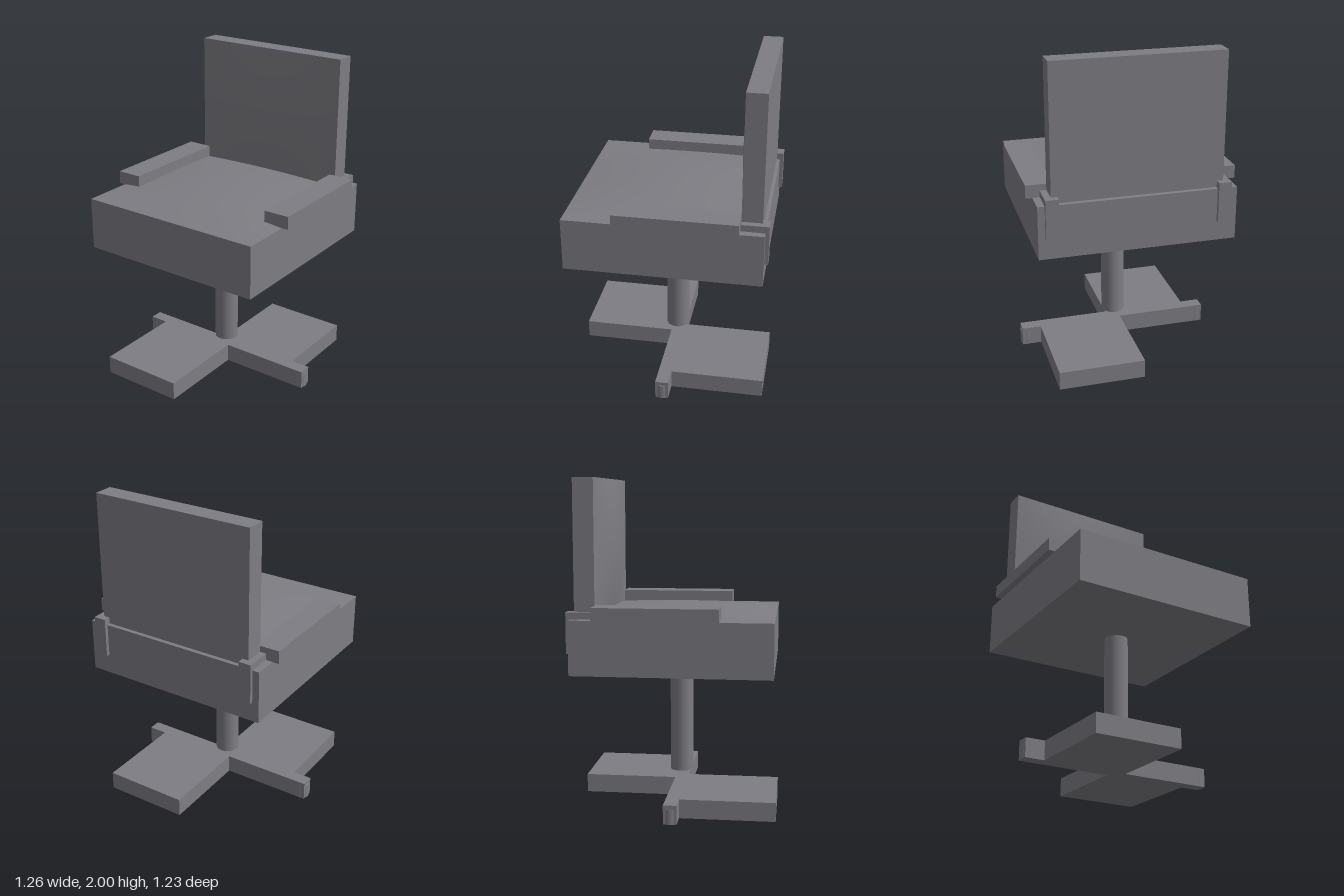
import * as THREE from 'three';

export function createModel() {
  const model = new THREE.Group();
  const material = new THREE.MeshStandardMaterial({ color: 0x7d7d83 });

  function add(name, geometry, parent = model) {
    const mesh = new THREE.Mesh(geometry, material);
    mesh.name = name;
    parent.add(mesh);
  }

  // Box given by its extents on each axis
  function box([x0, x1], [y0, y1], [z0, z1], segments = [1, 1, 1]) {
    const g = new THREE.BoxGeometry(x1 - x0, y1 - y0, z1 - z0, ...segments);
    return g.translate((x0 + x1) / 2, (y0 + y1) / 2, (z0 + z1) / 2);
  }

  // Bulge one positive face of a box outward, fading to nothing at its edges
  function crown(g, axis, height) {
    g.computeBoundingBox();
    const { min, max } = g.boundingBox;
    const others = ['x', 'y', 'z'].filter((a) => a !== axis);
    const p = new THREE.Vector3();
    const pos = g.attributes.position;
    for (let i = 0; i < pos.count; i++) {
      p.fromBufferAttribute(pos, i);
      if (p[axis] < max[axis] - 1e-4) continue;
      let lift = height;
      for (const a of others) {
        const t = (2 * (p[a] - min[a])) / (max[a] - min[a]) - 1;
        lift *= 1 - t * t;
      }
      p[axis] += lift;
      pos.setXYZ(i, p.x, p.y, p.z);
    }
    g.computeVertexNormals();
    return g;
  }

  // Cushions
  add('seat', crown(box([-0.592, 0.592], [0.862, 1.186], [-0.592, 0.592], [16, 1, 16]), 'y', 0.04));
  add('backrest', crown(box([-0.51, 0.51], [1.19, 2], [-0.572, -0.45], [16, 16, 1]), 'z', 0.035));

  // Armrests, each with a bracket hooked over the back of the seat
  for (const [side, s] of [['left', 1], ['right', -1]]) {
    const span = (a, b) => (s > 0 ? [a, b] : [-b, -a]);
    const arm = new THREE.Group();
    arm.name = side + 'Arm';
    model.add(arm);
    add('armrest', box(span(0.472, 0.632), [1.186, 1.265], [-0.45, 0.283]), arm);
    add('bracketTop', box(span(0.472, 0.55), [1.186, 1.228], [-0.592, -0.45]), arm);
    add('bracketDrop', box(span(0.472, 0.55), [0.985, 1.228], [-0.614, -0.592]), arm);
  }

  // Column
  add('column', new THREE.CylinderGeometry(0.073, 0.073, 0.694, 32).translate(0, 0.515, 0));

  // Base: two opposite foot plates, and two side legs with casters set in their ends
  const base = new THREE.Group();
  base.name = 'base';
  model.add(base);
  add('frontFootPlate', box([-0.492, 0.04], [0, 0.115], [-0.04, 0.612]), base);
  add('backFootPlate', box([-0.04, 0.492], [0, 0.115], [-0.612, 0.04]), base);
  add('sideLegs', box([-0.612, 0.612], [0, 0.115], [-0.04, 0.04]), base);
  for (const s of [-1, 1]) {
    add('caster', new THREE.CylinderGeometry(0.042, 0.042, 0.09, 16).translate(s * 0.578, 0.045, 0), base);
  }
  return model;
}
